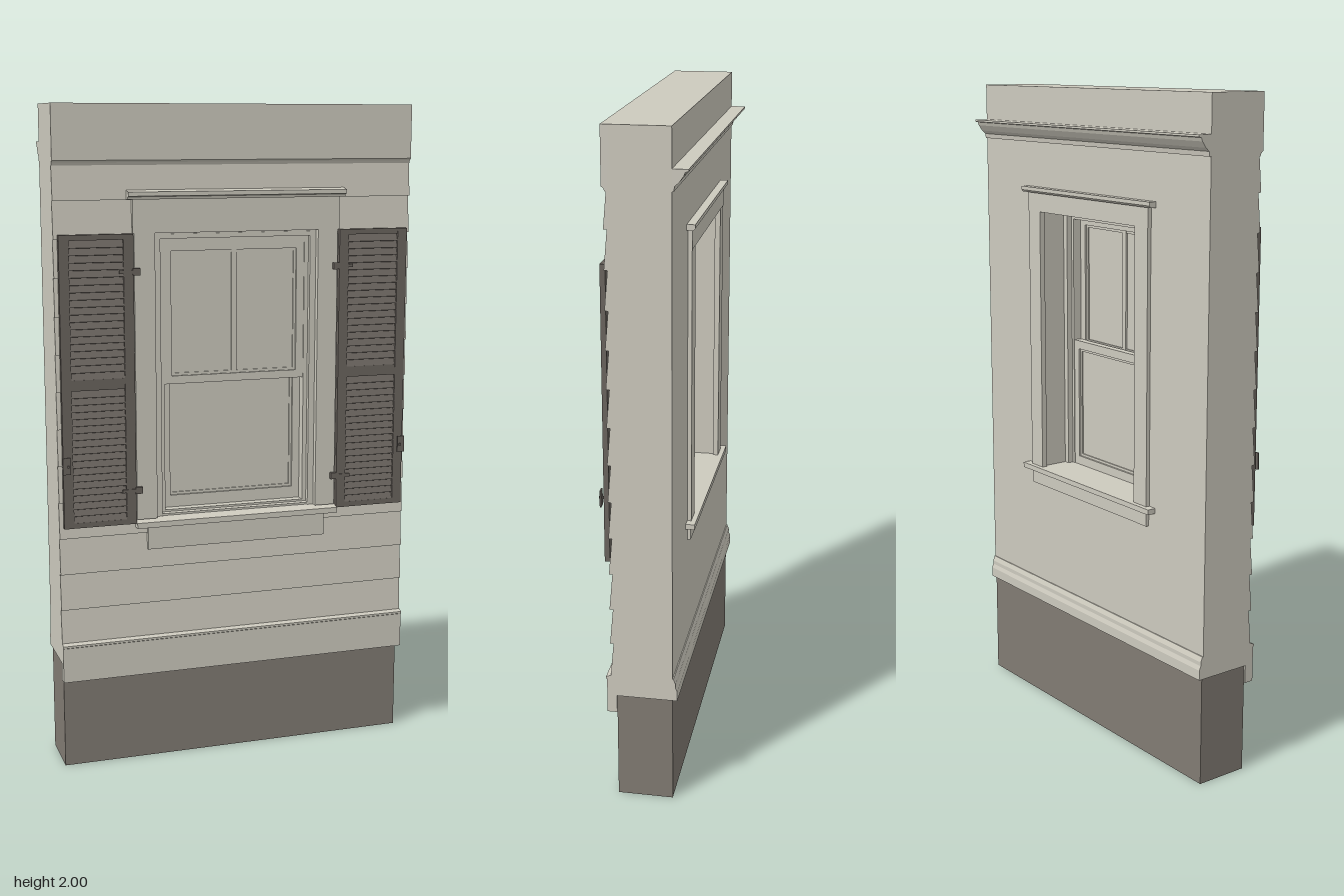
import * as THREE from 'three';

const mat = (name, color) => {
  const m = new THREE.MeshStandardMaterial({ color });
  m.name = name;
  return m;
};

export function createModel() {
  const root = new THREE.Group();
  root.name = 'wallWithWindow';
  const paint = mat('cream paint', 0xcdcabe);
  const stone = mat('foundation grey', 0x817b73);
  const dark = mat('shutter grey', 0x6b655f);
  const W = 0.555;

  const group = (name, parent = root) => {
    const g = new THREE.Group();
    g.name = name;
    parent.add(g);
    return g;
  };
  const add = (name, geo, material, parent) => {
    const m = new THREE.Mesh(geo, material);
    m.name = name;
    parent.add(m);
    return m;
  };
  // box given by its bounds
  const box = (name, x0, x1, y0, y1, z0, z1, material = paint, parent = root) => {
    const m = add(name, new THREE.BoxGeometry(x1 - x0, y1 - y0, z1 - z0), material, parent);
    m.position.set((x0 + x1) / 2, (y0 + y1) / 2, (z0 + z1) / 2);
    return m;
  };
  // moulding: a [z, y] profile run along x
  const moulding = (name, x0, x1, profile, material = paint, parent = root) => {
    const shape = new THREE.Shape(profile.map(([z, y]) => new THREE.Vector2(z, y)));
    const geo = new THREE.ExtrudeGeometry(shape, { depth: x1 - x0, bevelEnabled: false });
    geo.rotateY(-Math.PI / 2).translate(x1, 0, 0);
    return add(name, geo, material, parent);
  };
  // rectangular frame: outer and inner bounds [x0, x1, y0, y1]
  const rect = (P, [x0, x1, y0, y1]) => {
    const p = new P();
    p.moveTo(x0, y0).lineTo(x1, y0).lineTo(x1, y1).lineTo(x0, y1).closePath();
    return p;
  };
  const frame = (name, outer, inner, z0, z1, parent = root, material = paint) => {
    const shape = rect(THREE.Shape, outer);
    shape.holes.push(rect(THREE.Path, inner));
    const geo = new THREE.ExtrudeGeometry(shape, { depth: z1 - z0, bevelEnabled: false });
    return add(name, geo.translate(0, 0, z0), material, parent);
  };

  // structure
  box('foundation', -0.55, 0.55, 0, 0.335, -0.085, 0.08, stone);
  frame('wallCore', [-W, W, 0.335, 2], [-0.25, 0.25, 0.775, 1.625], -0.085, 0.085);

  // overlapping clapboards, split where they meet the window
  const siding = group('siding');
  const step = 0.111;
  for (let i = 0; i < 13; i++) {
    const y = 0.395 + i * step;
    const top = Math.min(y + step, 1.838);
    const profile = [[0.08, y], [0.098, y], [0.088, top], [0.08, top]];
    const split = top > 0.78 && y < 1.62;
    const runs = split ? [[-W, -0.28], [0.28, W]] : [[-W, W]];
    for (const [a, b] of runs) moulding('clapboard', a, b, profile, paint, siding);
  }

  // exterior bands
  moulding('waterTable', -W, W, [[0.08, 0.28], [0.109, 0.28], [0.109, 0.388],
    [0.112, 0.39], [0.112, 0.396], [0.09, 0.404], [0.08, 0.404]]);
  moulding('frieze', -W, W, [[0.08, 1.826], [0.092, 1.826], [0.095, 1.834],
    [0.102, 1.84], [0.102, 2], [0.08, 2]]);

  // interior bands
  moulding('baseboard', -W, W, [[-0.08, 0.335], [-0.099, 0.335], [-0.099, 0.365],
    [-0.094, 0.378], [-0.094, 0.39], [-0.088, 0.405], [-0.08, 0.405]]);
  moulding('crownMoulding', -W, W, [[-0.08, 1.832], [-0.09, 1.832], [-0.092, 1.846],
    [-0.104, 1.856], [-0.116, 1.873], [-0.12, 1.883], [-0.129, 1.885], [-0.129, 1.891], [-0.08, 1.891]]);

  // exterior window trim
  const trim = group('exteriorTrim');
  for (const s of [-1, 1]) {
    const [a, b] = s < 0 ? [-0.318, -0.255] : [0.255, 0.318];
    box('sideCasing', a, b, 0.772, 1.63, 0.08, 0.104, paint, trim);
  }
  box('headCasing', -0.322, 0.322, 1.63, 1.73, 0.08, 0.106, paint, trim);
  moulding('headCap', -0.338, 0.338, [[0.08, 1.728], [0.112, 1.728], [0.114, 1.736],
    [0.123, 1.738], [0.123, 1.75], [0.09, 1.756], [0.08, 1.756]], paint, trim);
  moulding('sill', -0.322, 0.322, [[0.08, 0.748], [0.122, 0.748], [0.122, 0.765],
    [0.08, 0.773]], paint, trim);
  box('apron', -0.285, 0.285, 0.676, 0.748, 0.08, 0.104, paint, trim);

  // interior window trim
  const inner = group('interiorTrim');
  for (const s of [-1, 1]) {
    const [a, b] = s < 0 ? [-0.3, -0.24] : [0.24, 0.3];
    box('innerSideCasing', a, b, 0.79, 1.63, -0.097, -0.08, paint, inner);
  }
  box('innerHeadCasing', -0.302, 0.302, 1.62, 1.68, -0.098, -0.08, paint, inner);
  moulding('innerHeadCap', -0.322, 0.322, [[-0.08, 1.678], [-0.104, 1.678],
    [-0.109, 1.684], [-0.109, 1.695], [-0.08, 1.695]], paint, inner);
  box('stool', -0.328, 0.328, 0.781, 0.797, -0.112, -0.08, paint, inner);
  box('stoolLedge', -0.25, 0.25, 0.775, 0.797, -0.08, 0.02, paint, inner);
  box('innerApron', -0.298, 0.298, 0.735, 0.781, -0.095, -0.08, paint, inner);

  // window frame with stepped stops and two sliding sashes
  const win = group('window');
  frame('windowFrame', [-0.252, 0.252, 0.773, 1.627], [-0.222, 0.222, 0.788, 1.592], 0.018, 0.074, win);
  frame('innerStop', [-0.251, 0.251, 0.774, 1.626], [-0.232, 0.232, 0.797, 1.606], 0.0, 0.018, win);
  frame('outerStop', [-0.251, 0.251, 0.774, 1.626], [-0.235, 0.235, 0.78, 1.612], 0.074, 0.088, win);
  moulding('subSill', -0.235, 0.235, [[0.02, 0.775], [0.09, 0.772], [0.074, 0.782], [0.02, 0.79]], paint, win);
  const sash = (name, y0, y1, g0, g1, z) => {
    const g = group(name, win);
    frame('sashFrame', [-0.222, 0.222, y0, y1], [-0.198, 0.198, g0, g1], z, z + 0.025, g);
    frame('glazingBead', [-0.2, 0.2, g0 - 0.002, g1 + 0.002],
      [-0.19, 0.19, g0 + 0.008, g1 - 0.008], z + 0.006, z + 0.019, g);
    box('pane', -0.195, 0.195, g0, g1, z + 0.01, z + 0.015, paint, g);
    return g;
  };
  const upper = sash('upperSash', 1.176, 1.592, 1.2, 1.574, 0.046);
  box('muntin', -0.008, 0.008, 1.2, 1.574, 0.05, 0.067, paint, upper);
  sash('lowerSash', 0.788, 1.206, 0.825, 1.18, 0.02);

  // louvred shutters with hinges and holdbacks, mirrored
  const x0 = 0.322, x1 = 0.543, y0 = 0.762, y1 = 1.63;
  for (const s of [-1, 1]) {
    const g = group(s > 0 ? 'leftShutter' : 'rightShutter');
    const part = (name, a, b, c, d, e, f) =>
      box(name, Math.min(s * a, s * b), Math.max(s * a, s * b), c, d, e, f, dark, g);
    part('innerStile', x0, x0 + 0.03, y0, y1, 0.097, 0.112);
    part('outerStile', x1 - 0.03, x1, y0, y1, 0.097, 0.112);
    const rails = [[y0, y0 + 0.016], [1.176, 1.208], [y1 - 0.016, y1]];
    for (const [a, b] of rails) part('rail', x0 + 0.03, x1 - 0.03, a, b, 0.097, 0.111);
    for (let p = 0; p < 2; p++) {
      const from = rails[p][1], span = rails[p + 1][0] - from, n = 19;
      for (let i = 0; i < n; i++) {
        const y = from + (span * (i + 0.5)) / n;
        part('louvre', x0 + 0.03, x1 - 0.03, y - 0.0125, y + 0.0125, 0.1025, 0.1055).rotation.x = -0.42;
      }
    }
    for (const y of [0.865, 1.52]) {
      part('hingeStrap', 0.315, 0.365, y - 0.005, y + 0.005, 0.11, 0.115);
      part('hingePlate', 0.303, 0.325, y - 0.01, y + 0.01, 0.102, 0.116);
    }
    part('holdbackPin', 0.527, 0.533, 0.951, 0.957, 0.1, 0.128);
    part('holdback', 0.523, 0.546, 0.93, 0.98, 0.119, 0.123);
  }
  return root;
}
